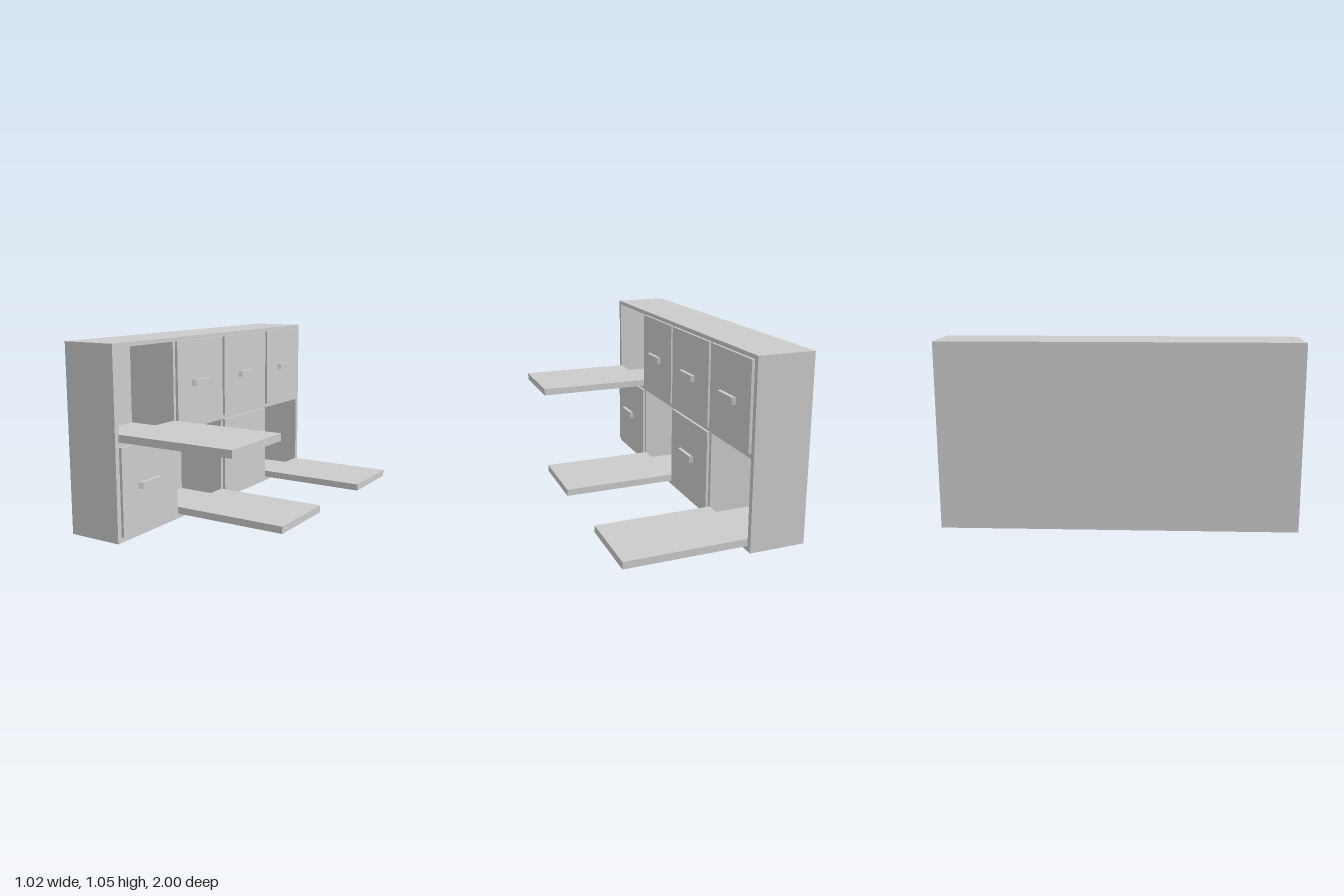
import * as THREE from 'three';

const material = new THREE.MeshStandardMaterial({ color: 0xcccccc });
const BACK = -0.51, FRONT = -0.185, HEIGHT = 1.053, BACK_THICKNESS = 0.015;

// Compartments open towards +x: columns are [zMin, zMax], rows are [yMin, yMax]
const columns = [[0.5, 0.972], [0.022, 0.48], [-0.497, 0], [-0.97, -0.52]];
const rows = [[0.03, 0.515], [0.543, 1.03]];

// Closed doors: column, row, handle centre z and y
const closedDoors = [
  [1, 1, 0.264, 0.784], [2, 1, -0.241, 0.784], [3, 1, -0.742, 0.784],
  [0, 0, 0.76, 0.287], [2, 0, -0.241, 0.295],
];
// Open doors, swung down flat: column, row
const openDoors = [[0, 1], [1, 0], [3, 0]];

function add(parent, name, geometry) {
  const mesh = new THREE.Mesh(geometry, material);
  mesh.name = name;
  parent.add(mesh);
  return mesh;
}

// Box given by its limits on each axis
function addBox(parent, name, [x0, x1], [y0, y1], [z0, z1]) {
  const mesh = add(parent, name, new THREE.BoxGeometry(x1 - x0, y1 - y0, z1 - z0));
  mesh.position.set((x0 + x1) / 2, (y0 + y1) / 2, (z0 + z1) / 2);
  return mesh;
}

function polygon(points, Type = THREE.Shape) {
  return new Type(points.map(([x, y]) => new THREE.Vector2(x, y)));
}

function rectangle([a0, a1], [b0, b1], Type) {
  return polygon([[a0, b0], [a1, b0], [a1, b1], [a0, b1]], Type);
}

// Bar handle with slanted ends
function addHandle(parent, z, y) {
  const height = 0.038;
  const outline = polygon([[-0.163, -0.09], [-0.141, -0.082], [-0.141, 0.075], [-0.163, 0.09]]);
  const geometry = new THREE.ExtrudeGeometry(outline, { depth: height, bevelEnabled: false });
  geometry.rotateX(Math.PI / 2); // outline lies in x-z, thickness goes down
  const handle = add(parent, 'handle', geometry);
  handle.position.set(0, y + height / 2, z);
}

export function createModel() {
  const model = new THREE.Group();
  model.name = 'cabinet';

  // Frame with a grid of compartments, and its back panel
  const outline = rectangle([-1, 1], [0, HEIGHT]);
  for (const column of columns) {
    for (const row of rows) outline.holes.push(rectangle(column, row, THREE.Path));
  }
  const frame = add(model, 'frame', new THREE.ExtrudeGeometry(outline, {
    depth: FRONT - BACK - BACK_THICKNESS, bevelEnabled: false,
  }));
  frame.rotation.y = -Math.PI / 2;
  frame.position.x = FRONT;
  addBox(model, 'backPanel', [BACK, BACK + BACK_THICKNESS], [0, HEIGHT], [-1, 1]);

  // Closed doors with handles
  for (const [c, r, handleZ, handleY] of closedDoors) {
    const door = new THREE.Group();
    door.name = 'closedDoor';
    addBox(door, 'doorPanel', [-0.208, -0.169], rows[r], columns[c]);
    addHandle(door, handleZ, handleY);
    model.add(door);
  }

  // Open doors
  for (const [c, r] of openDoors) {
    const y = rows[r][0];
    addBox(model, 'openDoor', [FRONT, 0.51], [y, y + 0.041], columns[c]);
  }
  return model;
}
